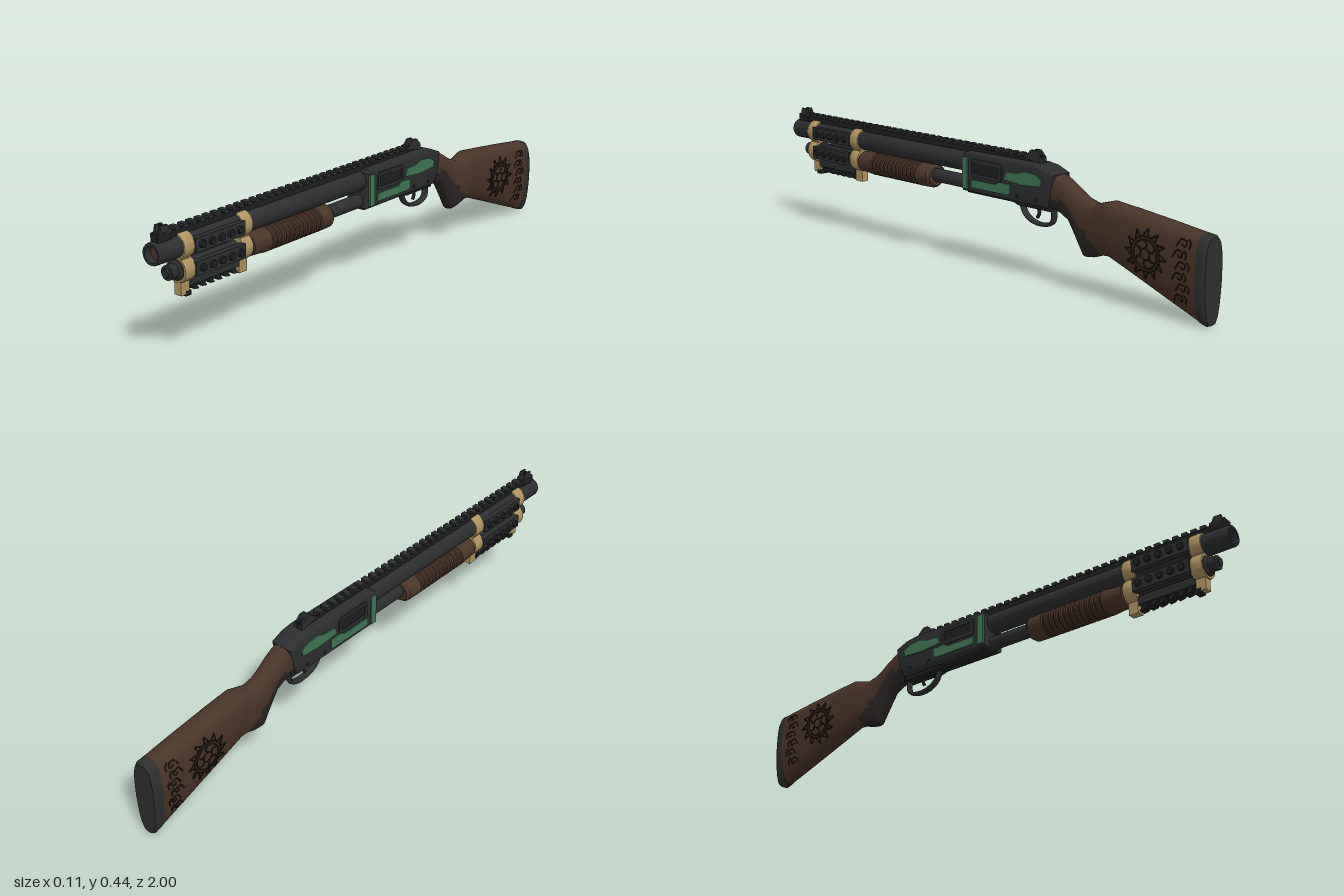
import * as THREE from 'three';
import { toCreasedNormals, mergeGeometries } from 'three/addons/utils/BufferGeometryUtils.js';

const mat = (name, color) => Object.assign(new THREE.MeshStandardMaterial({ color }), { name });

export function createModel() {
  const root = new THREE.Group();
  root.name = 'pumpShotgun';
  const steel = mat('gunmetal', 0x2d2e30), black = mat('blackSteel', 0x1d1e20);
  const wood = mat('walnut', 0x4a3428), dark = mat('darkGrip', 0x2c2725);
  const green = mat('greenInlay', 0x3f7553), gold = mat('brass', 0xb0935f);
  const carve = mat('engraving', 0x231913), rubber = mat('rubberPad', 0x2f2f30);

  const add = (name, geo, m, parent = root) => {
    const mesh = new THREE.Mesh(geo, m);
    mesh.name = name;
    parent.add(mesh);
    return mesh;
  };
  const box = (name, w, h, d, x, y, z, m) =>
    add(name, new THREE.BoxGeometry(w, h, d).translate(x, y, z), m);
  // Turned part along z; points are [radius, z]
  const turned = (name, pts, y, m, sx = 1) => {
    const g = new THREE.LatheGeometry(pts.map(p => new THREE.Vector2(p[0], p[1])), 36);
    g.rotateX(Math.PI / 2).scale(sx, 1, 1).translate(0, y, 0);
    return add(name, toCreasedNormals(g, 0.6), m);
  };
  // Side profile of [z, y] points, extruded across x and centred on cx
  const toShape = pts => new THREE.Shape(pts.map(p => new THREE.Vector2(p[0], p[1])));
  const profile = (pts, width, cx = 0, bevel = 0, hole = null) => {
    const s = toShape(pts);
    if (hole) s.holes.push(toShape(hole));
    const g = new THREE.ExtrudeGeometry(s, {
      depth: width - 2 * bevel, bevelEnabled: bevel > 0, bevelSize: bevel,
      bevelThickness: bevel, bevelOffset: -bevel, bevelSegments: 3,
    });
    g.translate(0, 0, -(width - 2 * bevel) / 2).rotateY(-Math.PI / 2).translate(cx, 0, 0);
    return toCreasedNormals(g, 0.6);
  };

  // Barrel and magazine tube
  const BY = 0.361, TY = 0.287;
  turned('barrel', [[0, 0], [0.036, 0], [0.036, 0.994], [0.034, 1], [0.026, 1], [0.026, 0.975]], BY, steel);
  add('bore', new THREE.CircleGeometry(0.0262, 32).translate(0, BY, 0.976), wood);
  turned('magazineTube', [[0, 0], [0.024, 0], [0.024, 0.85], [0.034, 0.85], [0.034, 0.905],
    [0.024, 0.912], [0.024, 0.94], [0.014, 0.94], [0.014, 0.948], [0, 0.948]], TY, steel);

  // Ribbed pump handle
  const pump = [[0, 0.21], [0.034, 0.21], [0.042, 0.222], [0.043, 0.27]];
  for (let i = 0; i < 12; i++) {
    const z = 0.28 + i * 0.021;
    pump.push([0.043, z], [0.039, z + 0.004], [0.039, z + 0.008], [0.043, z + 0.012]);
  }
  pump.push([0.043, 0.535], [0.04, 0.56], [0.038, 0.6], [0, 0.605]);
  turned('pumpHandle', pump, 0.283, wood, 1.12);

  // Brass clamps joining barrel and tube
  for (const z of [0.88, 0.628]) {
    for (const y of [BY, TY]) {
      turned('clampRing', [[0, z - 0.022], [0.041, z - 0.022], [0.043, z - 0.018],
        [0.043, z + 0.018], [0.041, z + 0.022], [0, z + 0.022]], y, gold);
    }
    box('clampBridge', 0.05, 0.03, 0.04, 0, 0.324, z, gold);
    box('clampFoot', 0.028, 0.05, 0.036, 0, 0.229, z, gold);
  }
  box('clampTip', 0.03, 0.016, 0.022, 0, 0.206, 0.868, black);

  // Scalloped side guards between the clamps
  for (const s of [-1, 1]) {
    for (const y of [BY, TY]) {
      box('sideGuard', 0.022, 0.046, 0.215, s * 0.036, y, 0.755, steel);
      for (let i = 0; i < 5; i++) {
        const g = new THREE.CylinderGeometry(0.012, 0.015, 0.02, 8);
        add('guardStud', g.rotateZ(-s * Math.PI / 2).translate(s * 0.046, y, 0.672 + i * 0.041), black);
      }
    }
  }
  // Lower guard with raked teeth
  box('lowerGuard', 0.034, 0.03, 0.215, 0, 0.244, 0.755, steel);
  for (let i = 0; i < 6; i++) {
    const z = 0.665 + i * 0.034;
    add('guardTooth', profile([[z, 0.232], [z - 0.014, 0.207], [z + 0.006, 0.21], [z + 0.024, 0.232]], 0.026), black);
  }

  // Sight rail
  box('railBase', 0.022, 0.022, 1.25, 0, 0.407, 0.325, black);
  for (let i = 0; i < 36; i++) box('railTooth', 0.03, 0.012, 0.02, 0, 0.42, 0.935 - i * 0.0345, steel);
  // Sights
  for (const s of [-1, 1]) {
    add('rearSightWing', profile([[-0.22, 0.415], [-0.245, 0.43], [-0.258, 0.443], [-0.28, 0.443],
      [-0.302, 0.42], [-0.302, 0.4]], 0.009, s * 0.011), steel);
    add('frontSightWing', profile([[0.985, 0.41], [0.972, 0.425], [0.968, 0.443], [0.942, 0.443],
      [0.93, 0.42], [0.925, 0.4]], 0.007, s * 0.011), steel);
  }
  box('rearSightBase', 0.03, 0.016, 0.07, 0, 0.418, -0.265, black);
  box('frontSightBase', 0.03, 0.03, 0.055, 0, 0.406, 0.957, black);
  box('frontSightPost', 0.006, 0.03, 0.012, 0, 0.427, 0.955, black);

  // Receiver
  add('receiver', profile([[0.038, 0.265], [0.038, 0.392], [0.025, 0.402], [-0.29, 0.404], [-0.335, 0.398],
    [-0.385, 0.378], [-0.372, 0.31], [-0.35, 0.265]], 0.092, 0, 0.012), steel);
  add('triggerHousing', profile([[0.03, 0.257], [0.03, 0.28], [-0.36, 0.28], [-0.36, 0.25],
    [-0.21, 0.25], [-0.19, 0.257]], 0.05, 0, 0.004), black);
  // Green inlays and loading port, mirrored
  for (const s of [-1, 1]) {
    const x = s * 0.0465;
    add('frontInlay', profile([[0.031, 0.275], [0.031, 0.386], [0.006, 0.386], [0.006, 0.275]], 0.008, x), green);
    add('lowerInlay', profile([[-0.012, 0.284], [-0.012, 0.312], [-0.13, 0.312], [-0.145, 0.322],
      [-0.198, 0.322], [-0.198, 0.29], [-0.185, 0.284]], 0.008, x), green);
    add('upperInlay', profile([[-0.168, 0.335], [-0.178, 0.362], [-0.235, 0.366], [-0.26, 0.376], [-0.31, 0.372],
      [-0.34, 0.355], [-0.335, 0.334], [-0.25, 0.328]], 0.008, x), green);
    add('portFrame', profile([[-0.012, 0.326], [-0.012, 0.374], [-0.022, 0.384], [-0.148, 0.384], [-0.158, 0.374],
      [-0.158, 0.336], [-0.148, 0.322], [-0.022, 0.322]], 0.008, x, 0,
      [[-0.024, 0.334], [-0.024, 0.372], [-0.146, 0.372], [-0.146, 0.334]]), steel);
    add('portCover', profile([[-0.022, 0.332], [-0.022, 0.374], [-0.148, 0.374], [-0.148, 0.332]], 0.004, s * 0.0455), black);
    for (const z of [-0.225, -0.31]) {
      add('receiverPin', new THREE.CylinderGeometry(0.007, 0.007, 0.095, 12).rotateZ(Math.PI / 2).translate(0, 0.285, z), black);
    }
  }

  // Trigger and guard
  const curve = pts => new THREE.CatmullRomCurve3(pts.map(p => new THREE.Vector3(0, p[1], p[0])));
  add('triggerGuard', new THREE.TubeGeometry(curve([[-0.205, 0.262], [-0.225, 0.222], [-0.262, 0.2],
    [-0.315, 0.197], [-0.348, 0.212], [-0.355, 0.26]]), 40, 0.007, 8).scale(2, 1, 1), steel);
  add('trigger', new THREE.TubeGeometry(curve([[-0.275, 0.26], [-0.287, 0.235], [-0.278, 0.215]]), 12, 0.006, 8), black);

  // Stock stations: z, top, bottom, half width
  const stations = [[-0.345, 0.392, 0.264, 0.042], [-0.4, 0.372, 0.25, 0.039], [-0.435, 0.354, 0.23, 0.037],
    [-0.465, 0.336, 0.18, 0.036], [-0.498, 0.318, 0.124, 0.036], [-0.54, 0.306, 0.13, 0.039],
    [-0.575, 0.316, 0.143, 0.043], [-0.605, 0.325, 0.145, 0.046], [-0.7, 0.316, 0.11, 0.048],
    [-0.85, 0.3, 0.053, 0.048], [-0.965, 0.286, 0.01, 0.047]];
  const padStations = [[-0.965, 0.286, 0.008, 0.047], [-0.99, 0.284, 0, 0.047], [-1, 0.276, 0.004, 0.042]];
  const P = 3.2;
  const sample = (st, z) => {
    let i = 0;
    while (i < st.length - 2 && z < st[i + 1][0]) i++;
    const t = (z - st[i][0]) / (st[i + 1][0] - st[i][0]);
    return st[i].map((v, k) => v + (st[i + 1][k] - v) * t);
  };
  const taper = v => 1 - 0.2 * Math.max(0, -v);
  // Rounded-square loft; pick(z, y) chooses the material of each face
  const loft = (st, rings, pick) => {
    const n = 40, pos = [], lists = [[], []];
    const z0 = st[0][0], z1 = st[st.length - 1][0];
    const pw = v => Math.sign(v) * Math.abs(v) ** (2 / P);
    for (let i = 0; i <= rings; i++) {
      const [z, top, bot, hw] = sample(st, z0 + (z1 - z0) * i / rings);
      for (let j = 0; j < n; j++) {
        const a = j / n * Math.PI * 2, v = pw(Math.sin(a));
        pos.push(hw * pw(Math.cos(a)) * taper(v), (top + bot) / 2 + (top - bot) / 2 * v, z);
      }
    }
    for (let i = 0; i < rings; i++) for (let j = 0; j < n; j++) {
      const a = i * n + j, b = i * n + (j + 1) % n, c = b + n, d = a + n;
      const y = (pos[a * 3 + 1] + pos[c * 3 + 1]) / 2, z = (pos[a * 3 + 2] + pos[c * 3 + 2]) / 2;
      lists[pick(z, y)].push(a, d, b, b, d, c);
    }
    for (let j = 1; j < n - 1; j++) {
      const o = rings * n;
      lists[0].push(0, j, j + 1, o, o + j + 1, o + j);
    }
    const g = new THREE.BufferGeometry();
    g.setAttribute('position', new THREE.Float32BufferAttribute(pos, 3));
    g.setIndex([...lists[0], ...lists[1]]);
    g.addGroup(0, lists[0].length, 0);
    g.addGroup(lists[0].length, lists[1].length, 1);
    return toCreasedNormals(g, 0.7);
  };
  // Dark panel follows the lower edge of the wrist and grip
  const gripPanel = (z, y) => (z > -0.575 && y < 0.3 + Math.min(0, (z + 0.42) * 0.9) ? 1 : 0);
  add('stock', loft(stations, 90, gripPanel), [wood, dark]);
  add('buttPad', loft(padStations, 7, () => 0), [rubber, rubber]);

  // Carved ornaments that follow the stock's sides
  const half = (z, y) => {
    const [, top, bot, hw] = sample(stations, z);
    const v = (y - (top + bot) / 2) / ((top - bot) / 2);
    return hw * taper(v) * Math.max(0, 1 - Math.abs(v) ** P) ** (1 / P);
  };
  const cz = -0.775, cy = 0.192;
  const polar = (r, a) => [cz + r * Math.cos(a), cy + r * Math.sin(a)];
  const lines = [];
  for (const r of [0.018, 0.046, 0.056]) {
    lines.push([Array.from({ length: 24 }, (_, i) => polar(r, i / 24 * Math.PI * 2)), true]);
  }
  for (let i = 0; i < 12; i++) {
    const a = i / 12 * Math.PI * 2;
    lines.push([[polar(0.057, a - 0.2), polar(0.068, a - 0.03), polar(0.082, a + 0.1), polar(0.068, a + 0.12), polar(0.057, a + 0.2)], false]);
    if (i % 2) lines.push([[polar(0.022, a), polar(0.03, a + 0.25), polar(0.042, a)], false]);
  }
  // Scrollwork along the rear
  for (let k = 0; k < 6; k++) {
    const y = 0.075 + k * 0.035, z = -0.905 - (k % 2) * 0.012;
    lines.push([[[z + 0.025, y - 0.01], [z + 0.008, y + 0.014], [z - 0.012, y + 0.006], [z - 0.006, y - 0.008], [z + 0.006, y]], false]);
    lines.push([[[z - 0.022, y - 0.012], [z - 0.026, y + 0.004], [z - 0.016, y + 0.016]], false]);
  }
  for (const s of [-1, 1]) {
    const tubes = lines.map(([pts, closed]) => new THREE.TubeGeometry(new THREE.CatmullRomCurve3(
      pts.map(([z, y]) => new THREE.Vector3(s * half(z, y), y, z)), closed), pts.length * 3, 0.0027, 5, closed));
    add('stockCarving', mergeGeometries(tubes), carve);
  }
  return root;
}
